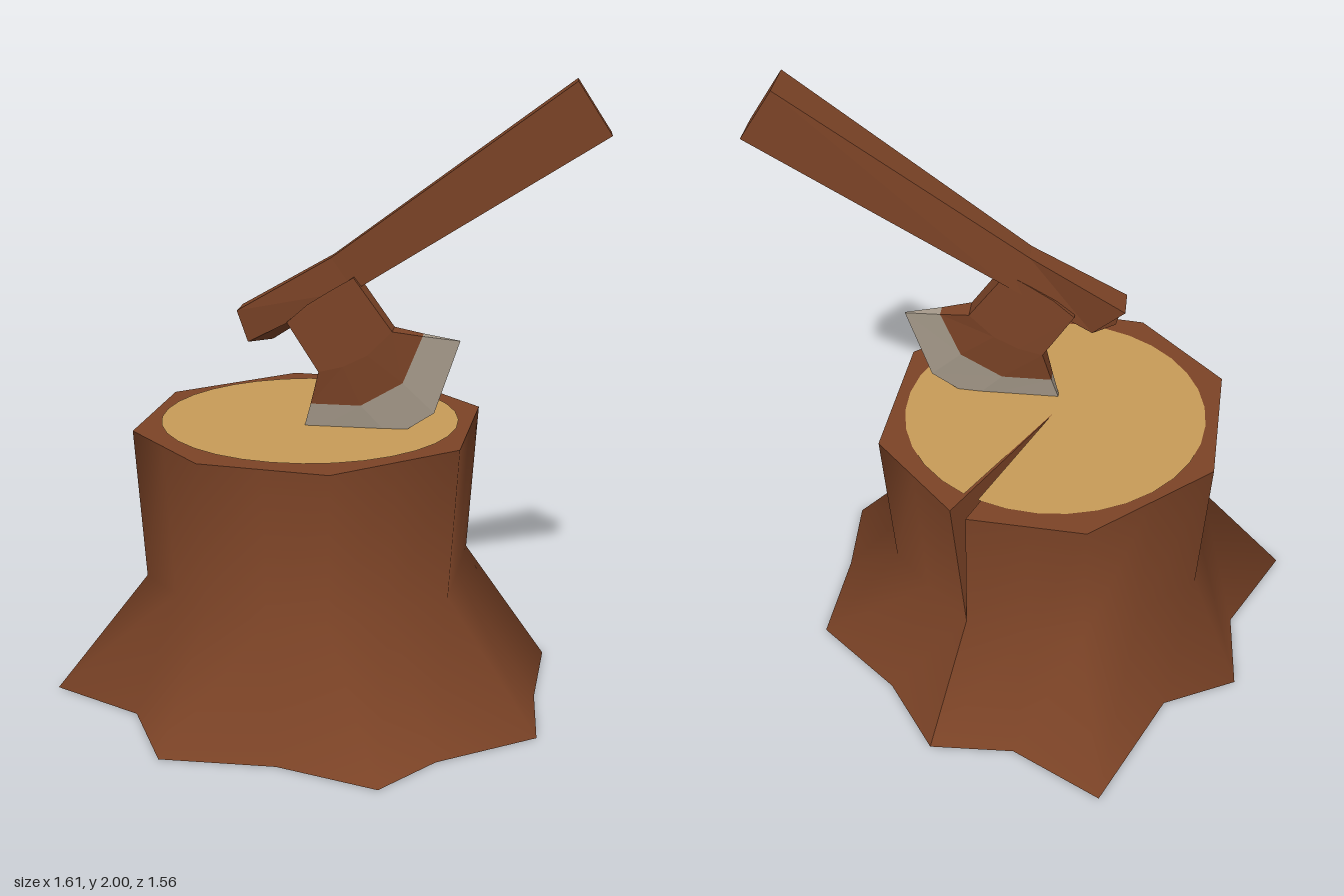
import * as THREE from 'three';

const bark = new THREE.MeshStandardMaterial({ color: 0x7d4427, side: THREE.DoubleSide });
bark.name = 'brown wood';
const cutWood = new THREE.MeshStandardMaterial({ color: 0xc89c58 });
cutWood.name = 'pale cut wood';
const steel = new THREE.MeshStandardMaterial({ color: 0xa89c8c });
steel.name = 'grey steel';

const TOP = 0.89, WAIST = 0.39;

// Skin a list of equal-length rings; closed rings wrap around, caps fill both ends
function loft(rings, { closed = true, caps = false, smooth = false } = {}) {
  const n = rings[0].length, index = [];
  for (let r = 0; r < rings.length - 1; r++) {
    for (let i = 0; i < (closed ? n : n - 1); i++) {
      const j = (i + 1) % n;
      const a = r * n + i, b = r * n + j, c = a + n, d = b + n;
      index.push(a, c, b, b, c, d);
    }
  }
  if (caps) {
    const e = (rings.length - 1) * n;
    for (let i = 1; i < n - 1; i++) index.push(0, i, i + 1, e, e + i + 1, e + i);
  }
  let g = new THREE.BufferGeometry();
  g.setAttribute('position', new THREE.Float32BufferAttribute(rings.flat(2), 3));
  g.setIndex(index);
  if (!smooth) g = g.toNonIndexed();
  g.computeVertexNormals();
  return g;
}

function part(group, name, geometry, material) {
  const m = new THREE.Mesh(geometry, material);
  m.name = name;
  group.add(m);
  return m;
}

// Flat horizontal face from [x, z] points
function flatFace(points, y) {
  const s = new THREE.Shape(points.map(([x, z]) => new THREE.Vector2(x, -z)));
  return new THREE.ShapeGeometry(s).rotateX(-Math.PI / 2).translate(0, y, 0);
}

function buildStump() {
  const g = new THREE.Group();
  g.name = 'stump';

  // Octagonal rim, starting and ending at the split in the back
  const rim = [[-0.07, -0.585], [0.3, -0.45], [0.49, 0], [0.3, 0.43], [-0.09, 0.57],
    [-0.47, 0.43], [-0.66, 0], [-0.47, -0.45], [-0.13, -0.59]];
  const roots = [[-0.09, -0.78], [0.17, -0.64], [0.52, -0.56], [0.65, -0.25], [0.79, 0],
    [0.61, 0.31], [0.555, 0.545], [0.23, 0.61], [-0.09, 0.78], [-0.34, 0.6], [-0.68, 0.61],
    [-0.67, 0.25], [-0.81, 0], [-0.65, -0.21], [-0.66, -0.66], [-0.33, -0.65], [-0.09, -0.78]];
  const fine = [];
  rim.forEach((p, i) => {
    fine.push(p);
    const q = rim[i + 1];
    if (q) fine.push([(p[0] + q[0]) / 2, (p[1] + q[1]) / 2]);
  });
  const waist = fine.map(([x, z]) => [-0.09 + (x + 0.09) * 0.945, z * 0.945]);
  const splitFoot = [-0.09, -0.55], splitTip = [-0.09, -0.03];
  waist[0] = waist[16] = splitFoot;
  const at = (ring, y) => ring.map(([x, z]) => [x, y, z]);

  // Trunk wall flaring into the roots, open underneath
  part(g, 'trunk', loft([at(roots, 0), at(waist, WAIST), at(fine, TOP)],
    { closed: false, smooth: true }), bark);
  part(g, 'barkRim', flatFace([...rim, splitTip], TOP), bark);

  // Pale round of cut wood
  const disc = [];
  for (let i = 0; i <= 32; i++) {
    const a = THREE.MathUtils.degToRad(-87 + (354 * i) / 32);
    disc.push([-0.09 + 0.488 * Math.cos(a), -0.015 + 0.488 * Math.sin(a)]);
  }
  part(g, 'cutTop', flatFace([...disc, splitTip], TOP + 0.003), cutWood);

  // Two sloping walls of the split
  const foot = [splitFoot[0], WAIST, splitFoot[1]], tip = [splitTip[0], TOP, splitTip[1]];
  const right = [rim[0][0], TOP, rim[0][1]], left = [rim[8][0], TOP, rim[8][1]];
  part(g, 'split', loft([[left, tip, right], [foot, foot, foot]], { closed: false }), bark);
  return g;
}

function buildAxe() {
  const g = new THREE.Group();
  g.name = 'axe';

  // Handle: four-sided, waisted near the head
  part(g, 'handle', loft([
    [[-0.22, 1.275, 0.2], [-0.265, 1.275, 0.11], [-0.16, 1.17, 0.09], [-0.2, 1.17, 0.17]],
    [[0.04, 1.45, 0.05], [0.01, 1.45, -0.01], [0.07, 1.345, -0.05], [0.1, 1.345, 0.01]],
    [[0.71, 2, -0.26], [0.65, 2, -0.38], [0.745, 1.84, -0.43], [0.8, 1.84, -0.32]],
  ], { caps: true }), bark);

  // Head: sections from the neck to the cutting edge, [x, y] from heel to toe
  const section = (pts, half) => [
    ...pts.map(([x, y]) => [x / 0.895, y, half]),
    ...[...pts].reverse().map(([x, y]) => [x / 0.895, y, -half]),
  ];
  const neck = section([[-0.1, 1.24], [-0.04, 1.3], [0.03, 1.35], [0.09, 1.39]], 0.042);
  const cheek = section([[-0.01, 1.08], [0.06, 1.1], [0.13, 1.14], [0.2, 1.22]], 0.036);
  const bevel = section([[-0.035, 0.97], [0.11, 0.97], [0.23, 1.05], [0.285, 1.205]], 0.02);
  const edge = section([[-0.065, 0.85], [0.2, 0.86], [0.32, 0.95], [0.39, 1.19]], 0.002);
  const head = new THREE.Group();
  head.name = 'axeHead';
  head.position.z = 0.035;
  head.rotation.y = 0.46;
  part(head, 'headBody', loft([neck, cheek, bevel], { caps: true }), bark);
  part(head, 'blade', loft([bevel, edge], { caps: true }), steel);
  g.add(head);
  return g;
}

export function createModel() {
  const model = new THREE.Group();
  model.name = 'stumpWithAxe';
  model.add(buildStump(), buildAxe());
  return model;
}
